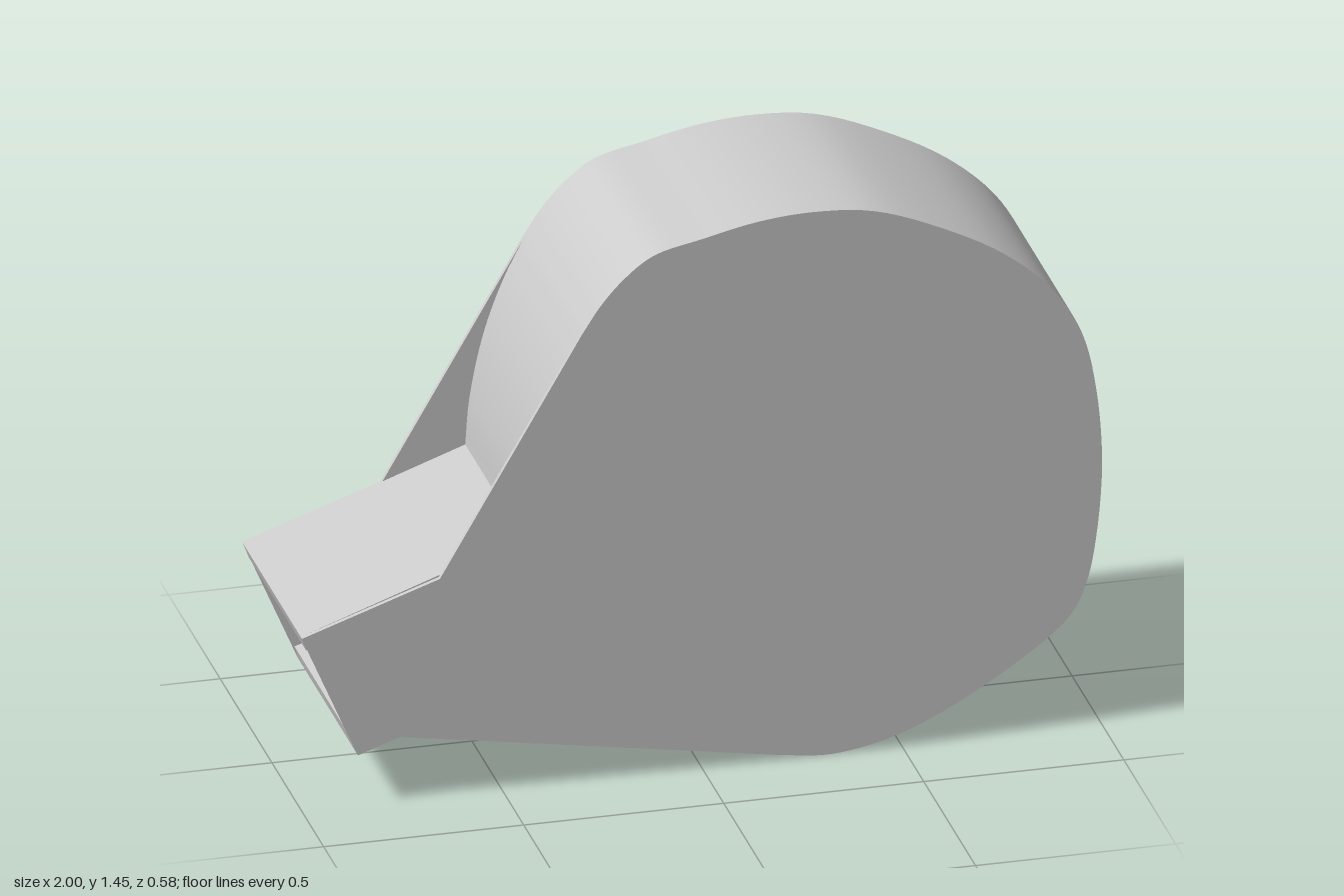
import * as THREE from 'three';
import { toCreasedNormals } from 'three/addons/utils/BufferGeometryUtils.js';

const HALF = 0.29;    // half of the housing width
const PLATE = 0.012;  // side plate thickness
const WALL = 0.04;    // thickness of the bent wall

const vectors = (pairs) => pairs.map(([x, y]) => new THREE.Vector2(x, y));
const smooth = (pairs, n) => new THREE.CatmullRomCurve3(
  pairs.map(([x, y]) => new THREE.Vector3(x, y, 0)), false, 'centripetal'
).getPoints(n).map((p) => new THREE.Vector2(p.x, p.y));

// Rounded drum edge, clockwise from upper left to the bottom
const drum = smooth([
  [-0.3, 1.19], [-0.25, 1.265], [-0.19, 1.33], [-0.12, 1.38], [0, 1.41], [0.14, 1.44],
  [0.28, 1.45], [0.43, 1.435], [0.6, 1.37], [0.76, 1.28], [0.88, 1.17], [0.95, 1.05],
  [0.985, 0.9], [1, 0.7], [0.985, 0.5], [0.96, 0.38], [0.92, 0.3], [0.8, 0.2],
  [0.6, 0.08], [0.48, 0.03], [0.38, 0.006], [0.3, 0], [0.19, 0.013],
], 110);

// Shift an open path to its right-hand side, mitring the corners
function offset(path, d) {
  return path.map((p, i) => {
    const a = path[Math.max(i - 1, 0)], b = path[Math.min(i + 1, path.length - 1)];
    const normal = (u, v) => new THREE.Vector2(v.y - u.y, u.x - v.x).normalize();
    const n1 = i > 0 ? normal(a, p) : normal(p, b);
    const n2 = i < path.length - 1 ? normal(p, b) : n1;
    const m = n1.clone().add(n2).normalize();
    return p.clone().addScaledVector(m, d / Math.max(m.dot(n1), 0.4));
  });
}

function slab(name, points, z, depth, material) {
  const geometry = new THREE.ExtrudeGeometry(new THREE.Shape(points), { depth, bevelEnabled: false });
  const mesh = new THREE.Mesh(toCreasedNormals(geometry, 0.45), material);
  mesh.name = name;
  mesh.position.z = z;
  return mesh;
}

export function createModel() {
  const group = new THREE.Group();
  group.name = 'blowerHousing';
  const material = new THREE.MeshStandardMaterial({ color: 0xcccccc, side: THREE.DoubleSide });

  // Two flat side plates with the full outline
  const outline = [
    ...vectors([[-1, 0.46], [-0.655, 0.58]]), ...drum,
    ...vectors([[-0.755, 0.17], [-0.86, 0.133]]),
  ];
  group.add(slab('frontPlate', outline, HALF - PLATE, PLATE, material));
  group.add(slab('backPlate', outline, -HALF, PLATE, material));

  // Wall between the plates: outlet roof, scroll around the drum, outlet floor
  const upper = smooth([[-0.445, 0.66], [-0.435, 0.78], [-0.4, 0.95], [-0.35, 1.09], [-0.3, 1.19]], 16);
  const lower = smooth([[0.19, 0.013], [0.06, 0.05], [-0.08, 0.115], [-0.2, 0.2], [-0.29, 0.31]], 16);
  const path = [
    ...vectors([[-1, 0.46]]), ...upper, ...drum.slice(1, -1), ...lower,
    ...vectors([[-0.86, 0.133]]),
  ];
  const band = [...path, ...offset(path, WALL).reverse()];
  group.add(slab('scrollWall', band, -HALF + PLATE, 2 * (HALF - PLATE), material));

  return group;
}
